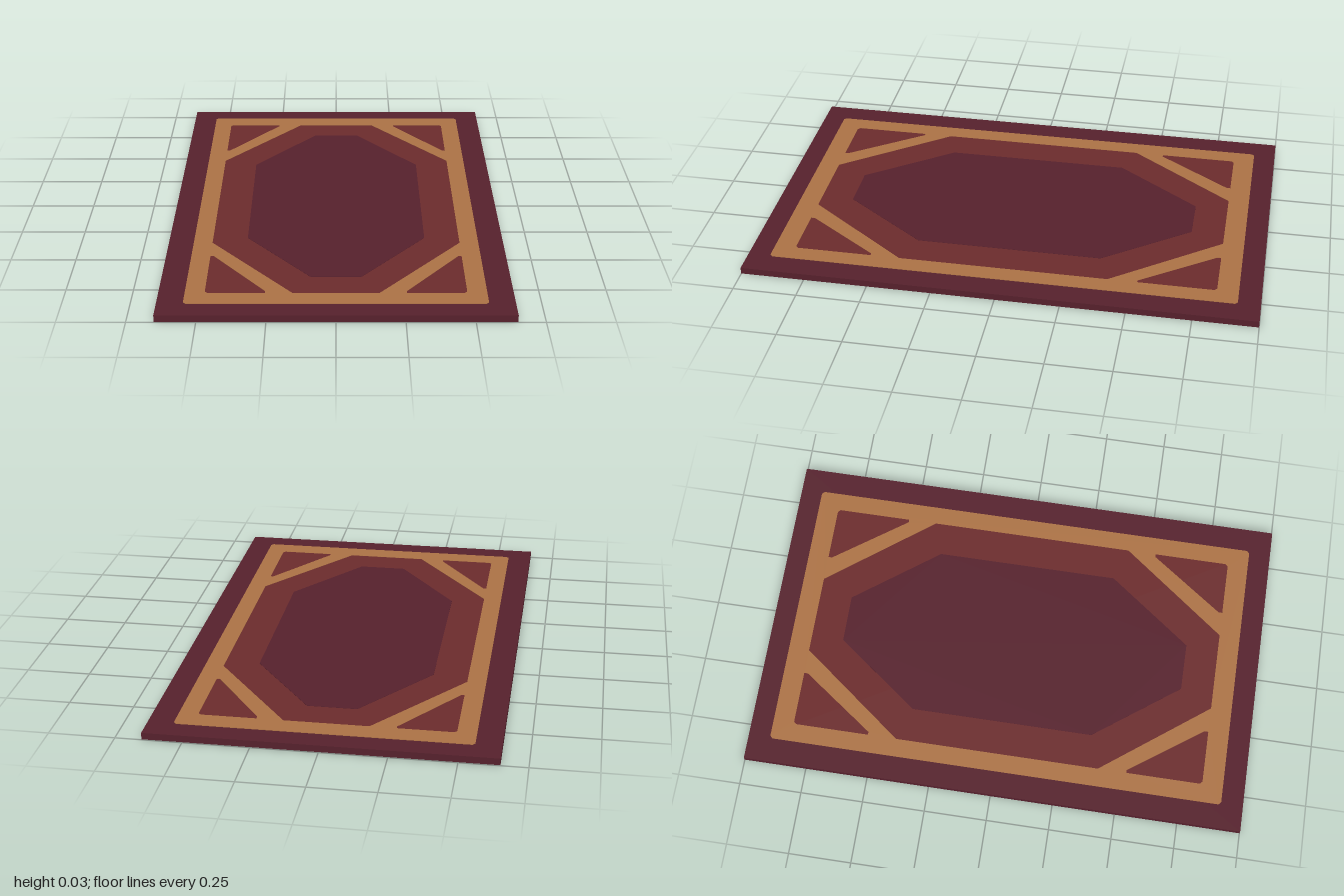
import * as THREE from 'three';

const material = (name, color) => new THREE.MeshStandardMaterial({ name, color });

// Clockwise outline of a rectangle or octagon: corners cut by cx and cz
const octagon = (x, z, cx, cz) => [
  [x, z - cz], [x - cx, z], [cx - x, z], [-x, z - cz],
  [-x, cz - z], [cx - x, -z], [x - cx, -z], [x, cz - z],
].map(([a, b]) => new THREE.Vector2(a, b));

// Flat plate lying on the ground plane, with optional holes
function plate(name, outline, holes, y, height, mat) {
  const shape = new THREE.Shape(outline);
  shape.holes = holes.map((points) => new THREE.Path(points));
  const geometry = new THREE.ExtrudeGeometry(shape, { depth: height, bevelEnabled: false });
  geometry.rotateX(-Math.PI / 2);
  const mesh = new THREE.Mesh(geometry, mat);
  mesh.name = name;
  mesh.position.y = y;
  return mesh;
}

export function createModel() {
  const maroon = material('maroon wool', 0x57212d);
  const red = material('brick red wool', 0x6d2c2d);
  const tan = material('tan wool', 0xae7446);
  const taupe = material('taupe backing', 0xa8977c);

  const rug = new THREE.Group();
  rug.name = 'rug';

  // Thick woven base
  const base = new THREE.Mesh(new THREE.BoxGeometry(1.3, 0.026, 2), maroon);
  base.name = 'base';
  base.position.y = 0.015;
  rug.add(base);

  // Red field seen through the openings of the tan frame
  rug.add(plate('field', octagon(0.52, 0.87, 0.01, 0.01), [], 0.028, 0.001, red));

  // Tan frame: one large octagonal opening and four corner triangles
  const openings = [octagon(0.48, 0.83, 0.32, 0.42)];
  for (const sx of [-1, 1]) {
    for (const sz of [-1, 1]) {
      openings.push([
        [0.48, 0.525], [0.48, 0.82], [0.47, 0.83], [0.26, 0.83], [0.26, 0.815], [0.468, 0.525],
      ].map(([x, z]) => new THREE.Vector2(sx * x, sz * z)));
    }
  }
  rug.add(plate('frame', octagon(0.553, 0.913, 0.01, 0.01), openings, 0.028, 0.002, tan));

  // Central medallion
  rug.add(plate('medallion', octagon(0.345, 0.7, 0.25, 0.335), [], 0.028, 0.002, maroon));

  // Underside binding and backing
  rug.add(plate('backingTrim', octagon(0.6, 0.95, 0.005, 0.005), [], 0.001, 0.002, tan));
  rug.add(plate('backing', octagon(0.56, 0.91, 0.005, 0.005), [], 0, 0.002, taupe));

  return rug;
}
